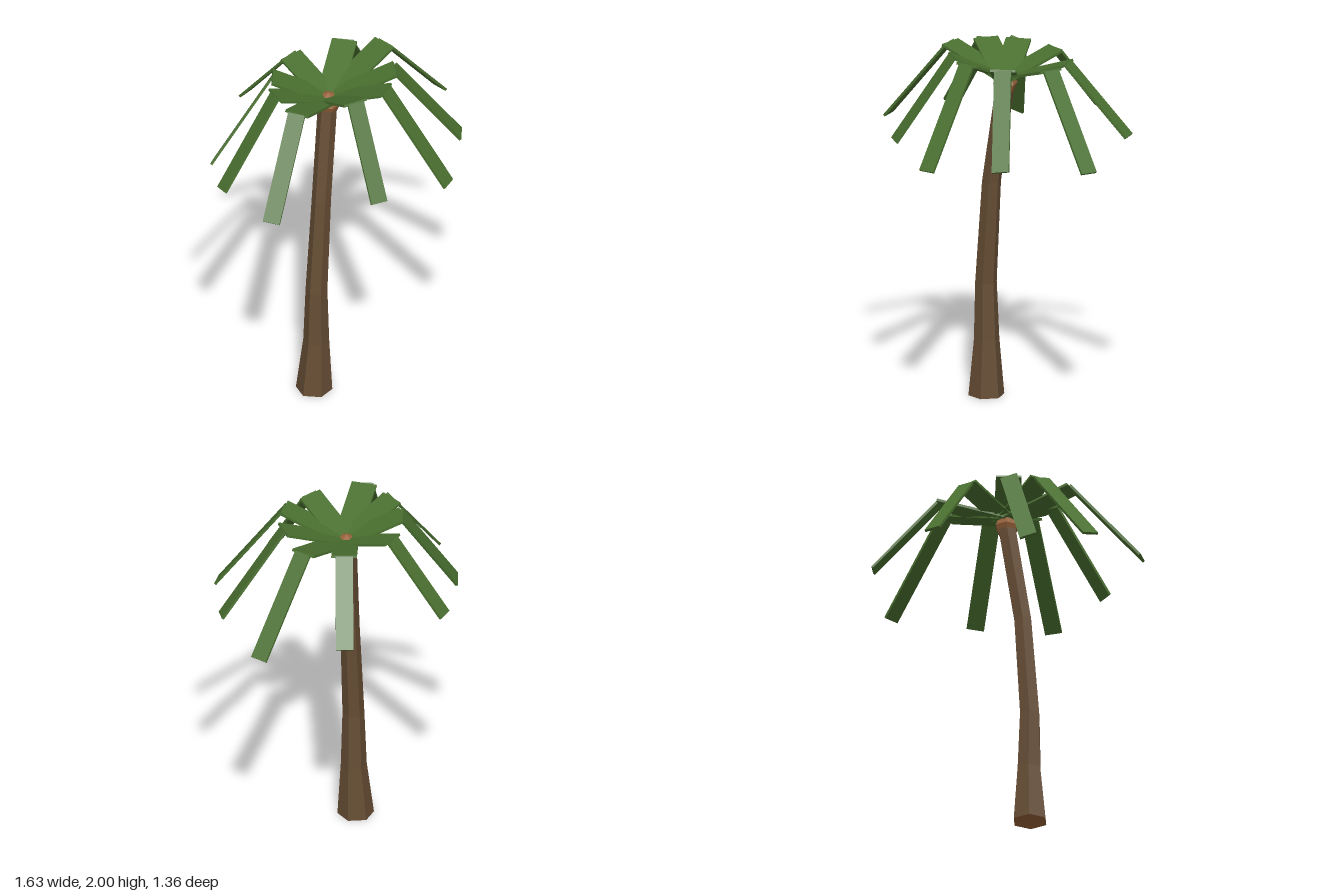
import * as THREE from 'three';

export function createModel() {
  const bark = new THREE.MeshStandardMaterial({ color: 0x664d34, flatShading: true });
  bark.name = 'bark';
  const wood = new THREE.MeshStandardMaterial({ color: 0x96623a, flatShading: true });
  wood.name = 'wood';
  const leaf = new THREE.MeshStandardMaterial({ color: 0x4a7030, flatShading: true });
  leaf.name = 'leaf';

  const model = new THREE.Group();
  model.name = 'palmTree';
  const V = (x, y, z) => new THREE.Vector3(x, y, z);
  const add = (parent, name, geo, mat) => {
    const mesh = new THREE.Mesh(geo, mat);
    mesh.name = name;
    parent.add(mesh);
    return mesh;
  };

  // Trunk: a six-sided cylinder whose rings follow a leaning path [x, y, z, radius]
  const rings = [
    [-0.18, 0, -0.037, 0.1],
    [-0.17, 0.32, -0.03, 0.071],
    [-0.172, 0.65, -0.027, 0.06],
    [-0.127, 1.23, -0.027, 0.053],
    [-0.042, 1.78, -0.05, 0.053],
  ];
  const n = rings.length - 1;
  const trunk = new THREE.CylinderGeometry(1, 1, n, 6, n, false, Math.PI / 2);
  const p = trunk.attributes.position;
  for (let i = 0; i < p.count; i++) {
    const [x, y, z, r] = rings[Math.round(p.getY(i) + n / 2)];
    p.setXYZ(i, x + p.getX(i) * r, y, z + p.getZ(i) * r);
  }
  trunk.computeVertexNormals();
  add(model, 'trunk', trunk, [bark, bark, wood]);

  // Crown heart: faceted nut at the top of the trunk
  add(model, 'crownNut', new THREE.SphereGeometry(0.068, 6, 4), wood).position.set(-0.037, 1.805, -0.047);

  // Flat plank running from a to b, its width lying along the horizontal heading "edge"
  const plank = (parent, name, a, b, width, edge) => {
    const dir = b.clone().sub(a);
    const length = dir.length();
    dir.normalize();
    const side = V(edge[0], 0, edge[1]);
    side.y = -(dir.x * side.x + dir.z * side.z) / dir.y;
    side.normalize();
    let up = dir.clone().cross(side);
    if (up.y < 0) {
      side.negate();
      up.negate();
    }
    const mesh = add(parent, name, new THREE.BoxGeometry(width, 0.014, length), leaf);
    mesh.quaternion.setFromRotationMatrix(new THREE.Matrix4().makeBasis(side, up, dir));
    mesh.position.copy(a).add(b).multiplyScalar(0.5);
  };

  // Fronds: elbow, tip and heading of the tip edge
  const fronds = [
    [[0.03, 1.955, -0.355], [0.045, 1.565, -0.676], [24, 1]],
    [[0.31, 1.965, -0.195], [0.635, 1.59, -0.35], [9, 18]],
    [[0.4, 1.983, 0.01], [0.8, 1.505, 0.09], [3, -18]],
    [[0.23, 1.985, 0.21], [0.49, 1.515, 0.46], [17, -12]],
    [[0.03, 1.99, 0.295], [0.11, 1.475, 0.66], [23, -4]],
    [[-0.16, 1.985, 0.23], [-0.32, 1.525, 0.51], [18, 9]],
    [[-0.415, 1.965, 0.02], [-0.795, 1.497, 0.13], [6, 18]],
    [[-0.345, 1.965, -0.18], [-0.715, 1.51, -0.265], [9, -18]],
    [[-0.21, 1.965, -0.3], [-0.47, 1.46, -0.51], [19, -9]],
  ];
  const heart = V(-0.035, 1.838, -0.045);
  fronds.forEach(([e, t, edge], i) => {
    const frond = new THREE.Group();
    frond.name = 'frond' + (i + 1);
    model.add(frond);
    const elbow = V(...e);
    plank(frond, 'innerLeaf', heart, elbow, 0.14, [-(elbow.z - heart.z), elbow.x - heart.x]);
    plank(frond, 'outerLeaf', elbow, V(...t), 0.096, edge);
  });

  return model;
}
